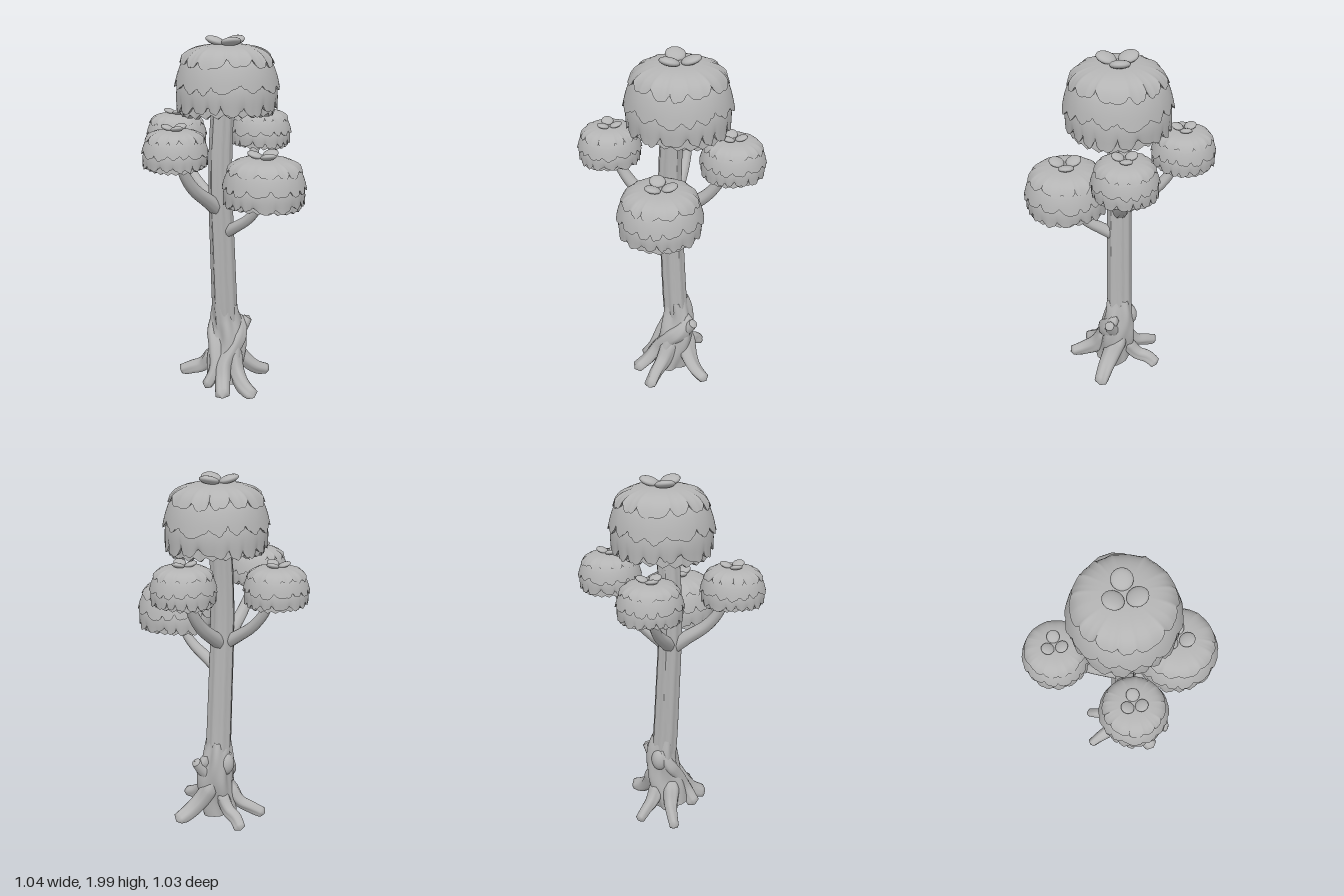
import * as THREE from 'three';
import { toCreasedNormals } from 'three/addons/utils/BufferGeometryUtils.js';

const grey = new THREE.MeshStandardMaterial({ color: 0xb4b4b4, side: THREE.DoubleSide });
grey.name = 'stone grey';
const V = (x, y, z) => new THREE.Vector3(x, y, z);
const TAU = Math.PI * 2;

// Skin a list of closed rings (each an array of Vector3)
function loft(rings, crease) {
  const n = rings[0].length, index = [];
  for (let i = 0; i < rings.length - 1; i++) {
    for (let j = 0; j < n; j++) {
      const a = i * n + j, b = i * n + (j + 1) % n;
      index.push(a, b, a + n, b, b + n, a + n);
    }
  }
  const geo = new THREE.BufferGeometry().setFromPoints(rings.flat());
  geo.setIndex(index);
  if (crease) return toCreasedNormals(geo, crease);
  geo.computeVertexNormals();
  return geo;
}

// Tube along points, radius given by a rule of length and angle; never below the ground
function sweep(points, radius, steps, sides, crease) {
  const curve = new THREE.CatmullRomCurve3(points.map(p => V(...p)));
  const f = curve.computeFrenetFrames(steps);
  const rings = [];
  for (let i = 0; i <= steps; i++) {
    const t = i / steps, c = curve.getPointAt(t), ring = [];
    for (let j = 0; j < sides; j++) {
      const a = j / sides * TAU, r = radius(t, a);
      const p = c.clone().addScaledVector(f.normals[i], r * Math.cos(a)).addScaledVector(f.binormals[i], r * Math.sin(a));
      p.y = Math.max(p.y, 0);
      ring.push(p);
    }
    rings.push(ring);
  }
  return loft(rings, crease);
}

function add(parent, name, geo) {
  const m = new THREE.Mesh(geo, grey);
  m.name = name;
  parent.add(m);
  return m;
}

// Horizontal ring whose radius and height follow the angle
function ringAt(n, rule) {
  return Array.from({ length: n }, (_, j) => {
    const a = j / n * TAU, [r, y] = rule(a, j);
    return V(r * Math.cos(a), y, r * Math.sin(a));
  });
}

// One skirt of overlapping leaves with an uneven scalloped lower edge
function leafTier(profile, count, depth, seed) {
  const n = 180, steps = 10;
  const scallop = a => {
    const w = a + 0.1 * Math.sin(3 * a + seed) + 0.04 * Math.sin(7 * a + seed * 2);
    const big = Math.sqrt(Math.abs(Math.sin(w * count / 2 + seed)));
    const small = Math.sqrt(Math.abs(Math.sin(w * count + seed * 3)));
    return 0.72 * big + 0.2 * small + 0.12 * Math.sin(4 * a + seed * 5);
  };
  const curve = new THREE.SplineCurve(profile.map(p => new THREE.Vector2(...p)));
  const rings = [];
  for (let i = 0; i <= steps; i++) {
    const t = i / steps, p = curve.getPoint(t), k = Math.pow(t, 4);
    rings.push(ringAt(n, a => {
      const s = scallop(a) - 0.65;
      return [p.x + k * 0.06 * s, p.y - k * depth * s];
    }));
  }
  // Lip folded back under the leaves
  const end = curve.getPoint(1);
  rings.push(ringAt(n, a => [end.x - 0.09, end.y - depth * (scallop(a) - 0.65) + 0.03]));
  return loft(rings, 0.75);
}

// Crown of three leaf skirts over a pleated hollow underside
function makeCrown(name, seed, x, y, z, radius, height) {
  const crown = new THREE.Group();
  crown.name = name;
  const tiers = new THREE.Group();
  tiers.name = 'foliage';
  tiers.scale.set(radius, height, radius);
  crown.add(tiers);
  add(tiers, 'upperLeaves', leafTier([[0.001, 0.975], [0.35, 0.965], [0.6, 0.925], [0.77, 0.85], [0.87, 0.74]], 13, 0.17, seed));
  add(tiers, 'middleLeaves', leafTier([[0.7, 0.85], [0.83, 0.74], [0.92, 0.58], [0.975, 0.42]], 15, 0.19, seed + 1.3));
  add(tiers, 'lowerLeaves', leafTier([[0.84, 0.58], [0.92, 0.42], [0.945, 0.28], [0.935, 0.12]], 16, 0.19, seed + 2.1));
  // Underside, a little tilted
  const n = 48, pleat = j => (j % 2 ? 1 : -1);
  const under = [[0.84, 0.4, 0], [0.88, 0.05, 0.03], [0.8, 0.05, 0.04], [0.5, 0.14, 0.04], [0.2, 0.27, 0.03], [0.001, 0.34, 0]]
    .map(([r, h, d]) => ringAt(n, (a, j) => [r + pleat(j) * d * 0.5, h + pleat(j) * d + 0.03 * r * Math.sin(2 * a + seed)]));
  add(tiers, 'underside', loft(under, 0.4));
  // Three flattened buds, tipped upward and outward
  for (let i = 0; i < 3; i++) {
    const turn = new THREE.Group();
    turn.name = 'budPivot';
    turn.rotation.y = Math.PI / 2 + i * TAU / 3;
    turn.position.y = height * 0.98 + radius * 0.05;
    const bud = add(turn, 'bud', new THREE.SphereGeometry(radius * 0.185, 20, 12));
    bud.scale.y = 0.4;
    bud.position.x = radius * 0.225;
    bud.rotation.z = 0.3;
    crown.add(turn);
  }
  crown.position.set(x, y, z);
  return crown;
}

export function createModel() {
  const tree = new THREE.Group();
  tree.name = 'tree';

  // Fluted trunk
  add(tree, 'trunk', sweep(
    [[0.005, 0.34, -0.045], [0.005, 0.48, -0.034], [0.003, 0.8, -0.018], [0, 1.15, -0.003], [0, 1.4, -0.005], [0.005, 1.78, -0.03]],
    (t, a) => (0.071 - 0.013 * t) * (1 + 0.05 * Math.cos(8 * a) + 0.04 * Math.cos(3 * a + 1)), 30, 48, 0.5));

  // Swollen, twisted foot of the trunk
  add(tree, 'trunkFoot', sweep(
    [[0.03, 0.02, 0], [0.03, 0.12, -0.02], [0.02, 0.26, -0.05], [0.005, 0.38, -0.05], [0.005, 0.48, -0.036]],
    (t, a) => (0.066 + 0.04 * Math.pow(1 - t, 1.2) + 0.016 * Math.sin(Math.PI * t)) *
      (1 + 0.1 * Math.cos(4 * a + 5 * t) + 0.05 * Math.cos(7 * a - 5 * t)), 32, 60));

  // Roots: thick strands winding down the foot, then thinning out over the ground
  const roots = [
    ['frontRoot', 0.062, [[0.03, 0.4, -0.12], [0.075, 0.31, -0.1], [0.08, 0.22, -0.02], [0.075, 0.14, 0.05], [0.11, 0.07, 0.1], [0.175, 0.01, 0.175]]],
    ['leftRoot', 0.06, [[0.03, 0.3, -0.03], [0.08, 0.2, -0.03], [0.13, 0.1, 0.0], [0.2, 0.045, 0.03], [0.3, 0.005, 0.045]]],
    ['backRoot', 0.06, [[-0.03, 0.29, -0.07], [0.02, 0.2, -0.1], [0.07, 0.11, -0.14], [0.11, 0.05, -0.19], [0.15, 0.005, -0.27]]],
    ['rightBackRoot', 0.05, [[-0.02, 0.23, -0.06], [-0.05, 0.13, -0.07], [-0.1, 0.07, -0.09], [-0.16, 0.05, -0.11], [-0.215, 0.005, -0.14]]],
    ['rightRoot', 0.05, [[0.0, 0.24, 0.0], [-0.05, 0.15, 0.02], [-0.1, 0.08, 0.03], [-0.17, 0.045, 0.055], [-0.24, 0.01, 0.085]]],
    ['innerRoot', 0.054, [[-0.045, 0.43, -0.04], [-0.04, 0.33, -0.01], [0.01, 0.22, 0.035], [0.04, 0.11, 0.08], [0.02, 0.01, 0.15]]],
  ];
  for (const [name, r, path] of roots) {
    add(tree, name, sweep(path, (t, a) => (t === 0 || t === 1 ? 0.001 : r) * (1 - 0.42 * t) * Math.min(1, 0.4 + 2 * t) *
      (1 + 0.13 * Math.cos(2 * a + 4 * t) + 0.07 * Math.cos(5 * a + 3 * t)), 24, 20));
  }
  // Broken stub and knot above the roots
  add(tree, 'rootStub', sweep([[0.03, 0.25, -0.06], [0.06, 0.31, -0.12], [0.08, 0.375, -0.17], [0.081, 0.377, -0.172]],
    t => (t === 1 ? 0.001 : 0.055 - 0.03 * t), 14, 10, 0.8));
  const knot = add(tree, 'knot', new THREE.SphereGeometry(0.05, 16, 12));
  knot.position.set(-0.05, 0.35, -0.05);
  knot.scale.y = 1.4;

  // Branches curving up into the side crowns
  const branches = [
    ['rightBranch', 0.038, [[-0.02, 1.07, 0], [-0.1, 1.125, -0.005], [-0.2, 1.2, -0.015], [-0.28, 1.3, -0.02], [-0.33, 1.43, -0.02]]],
    ['frontBranch', 0.042, [[0, 1.07, 0.03], [0, 1.125, 0.1], [0, 1.2, 0.2], [-0.003, 1.29, 0.27], [-0.005, 1.43, 0.325]]],
    ['backBranch', 0.042, [[0, 1.07, -0.02], [0.002, 1.125, -0.1], [0.006, 1.205, -0.2], [0.01, 1.3, -0.27], [0.015, 1.45, -0.325]]],
    ['leftBranch', 0.035, [[0.03, 0.92, -0.02], [0.1, 0.965, -0.02], [0.19, 1.03, -0.025], [0.25, 1.11, -0.03], [0.285, 1.22, -0.03]]],
  ];
  for (const [name, r, path] of branches) {
    add(tree, name, sweep(path, (t, a) => r * (1 - 0.45 * t) * (1 + 0.04 * Math.cos(6 * a)), 20, 18));
  }

  // Crowns
  tree.add(
    makeCrown('topCrown', 0.4, 0.01, 1.58, -0.048, 0.288, 0.382),
    makeCrown('rightCrown', 1.7, -0.343, 1.345, -0.02, 0.177, 0.212),
    makeCrown('frontCrown', 2.9, -0.005, 1.345, 0.34, 0.177, 0.208),
    makeCrown('backCrown', 4.1, 0.014, 1.365, -0.342, 0.177, 0.212),
    makeCrown('leftCrown', 5.3, 0.288, 1.115, -0.03, 0.23, 0.275),
  );
  return tree;
}
